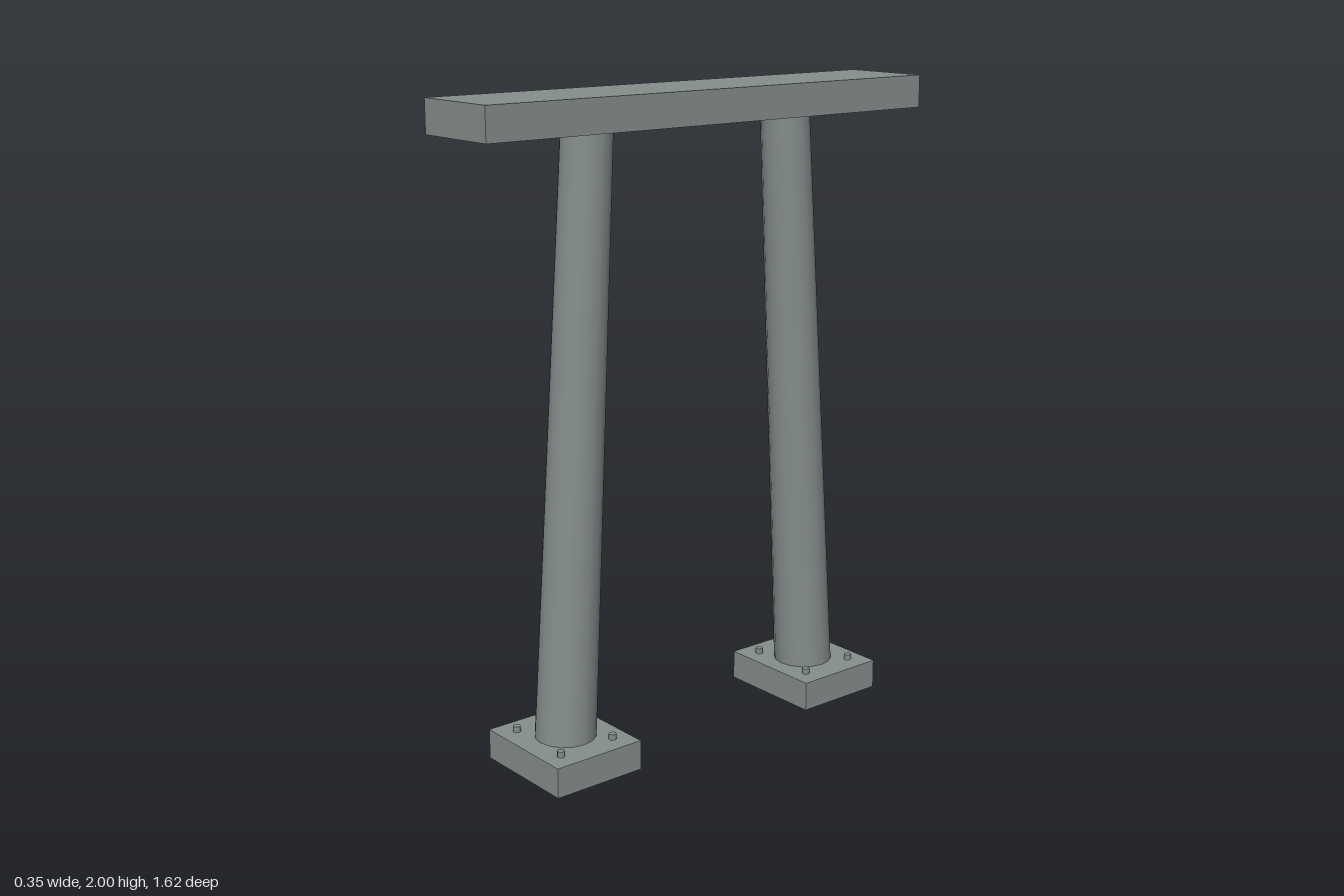
import * as THREE from 'three';

export function createModel() {
  const model = new THREE.Group();
  model.name = 'supportFrame';
  const material = new THREE.MeshStandardMaterial({ color: 0x868f8d });

  const add = (name, geometry, x, y, z, parent = model) => {
    const mesh = new THREE.Mesh(geometry, material);
    mesh.name = name;
    mesh.position.set(x, y, z);
    parent.add(mesh);
    return mesh;
  };

  // Long flat beam across the top
  add('topBeam', new THREE.BoxGeometry(0.295, 0.1, 1.62), 0, 1.95, 0);

  // Two tapered legs leaning towards each other, each bolted to a foot plate
  for (const side of [1, -1]) {
    const support = new THREE.Group();
    support.name = side > 0 ? 'frontSupport' : 'backSupport';
    model.add(support);

    add('footPlate', new THREE.BoxGeometry(0.355, 0.093, 0.305), 0, 0.0465, side * 0.491, support);

    const bottom = new THREE.Vector3(0, 0.089, side * 0.487);
    const top = new THREE.Vector3(0, 1.896, side * 0.376);
    const axis = top.clone().sub(bottom);
    const mid = bottom.clone().add(top).multiplyScalar(0.5);
    const leg = add('leg', new THREE.CylinderGeometry(0.076, 0.094, axis.length(), 16), mid.x, mid.y, mid.z, support);
    leg.quaternion.setFromUnitVectors(new THREE.Vector3(0, 1, 0), axis.normalize());

    // Bolt heads near the plate corners
    for (const sx of [1, -1]) {
      for (const sz of [1, -1]) {
        add('bolt', new THREE.CylinderGeometry(0.012, 0.012, 0.03, 8), sx * 0.114, 0.096, side * 0.491 + sz * 0.095, support);
      }
    }
  }

  return model;
}
